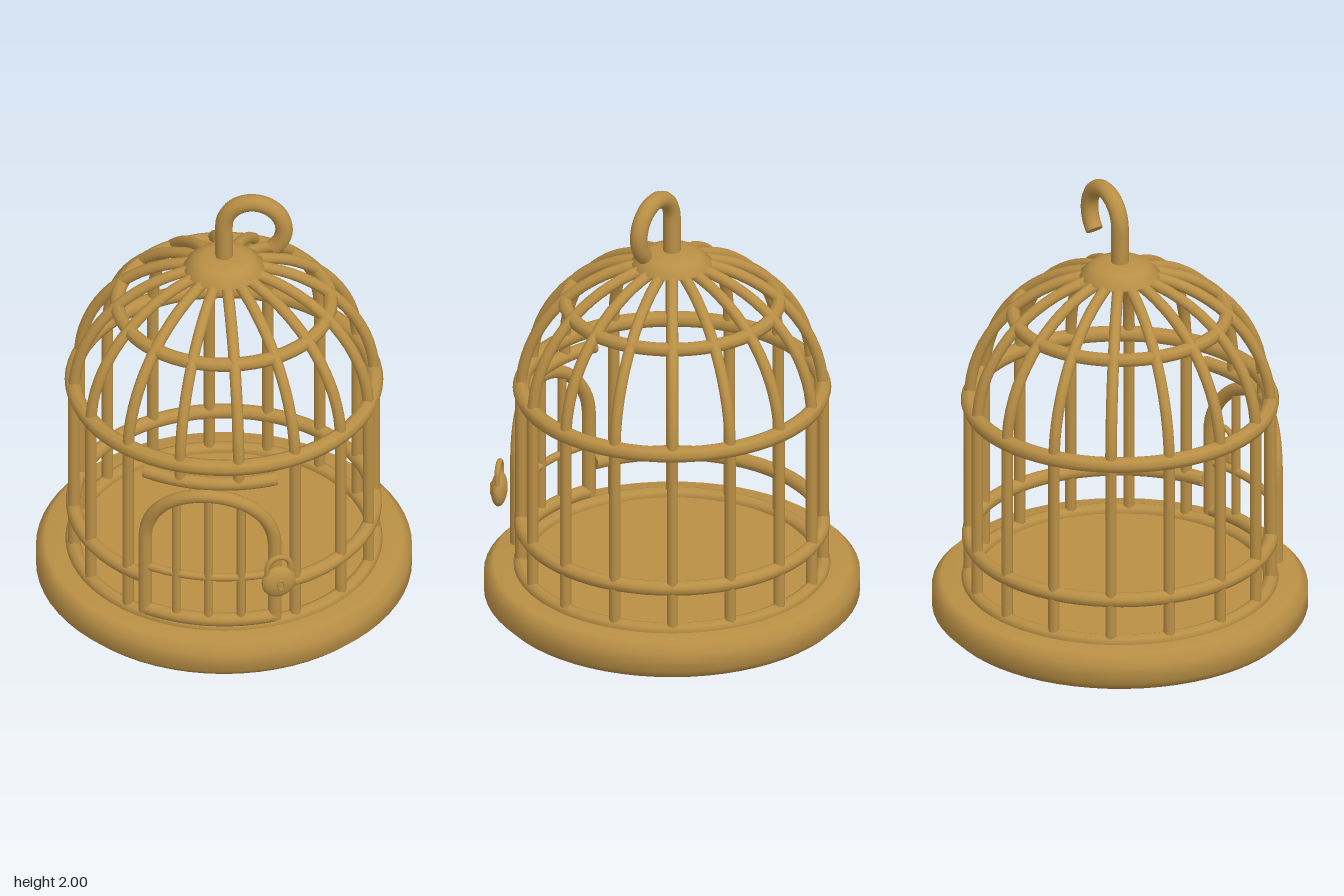
import * as THREE from 'three';
import { mergeGeometries } from 'three/addons/utils/BufferGeometryUtils.js';

const brass = new THREE.MeshStandardMaterial({ color: 0xb98f45 });
brass.name = 'antique brass';

const V = (x, y, z) => new THREE.Vector3(x, y, z);
const CAGE_R = 0.65, DOOR_R = 0.675, GAP = 0.45; // radii, and half angle of the door opening

function add(parent, name, geometry) {
  const mesh = new THREE.Mesh(geometry, brass);
  mesh.name = name;
  parent.add(mesh);
  return mesh;
}

// Round rod along a list of points, closed with flat caps
function rod(points, radius, segments = 1, sides = 10) {
  const curve = points.length === 2
    ? new THREE.LineCurve3(points[0], points[1])
    : new THREE.CatmullRomCurve3(points);
  const parts = [new THREE.TubeGeometry(curve, segments, radius, sides)];
  for (const [t, sign] of [[0, -1], [1, 1]]) {
    const cap = new THREE.CircleGeometry(radius, sides);
    const dir = curve.getTangentAt(t).multiplyScalar(sign);
    cap.applyQuaternion(new THREE.Quaternion().setFromUnitVectors(V(0, 0, 1), dir));
    const p = curve.getPointAt(t);
    cap.translate(p.x, p.y, p.z);
    parts.push(cap);
  }
  return mergeGeometries(parts);
}

// Horizontal arc about the cage axis; angle 0 faces the front
function arc(radius, y, from, to, thickness, segments) {
  const points = [];
  for (let i = 0; i <= segments; i++) {
    const a = from + (to - from) * i / segments;
    points.push(V(radius * Math.sin(a), y, radius * Math.cos(a)));
  }
  return rod(points, thickness, segments);
}

function hoop(radius, y, thickness) {
  return new THREE.TorusGeometry(radius, thickness, 8, 64).rotateX(Math.PI / 2).translate(0, y, 0);
}

function lathe(profile) {
  return new THREE.LatheGeometry(profile.map(([r, y]) => new THREE.Vector2(r, y)), 64);
}

// Point on the curved door surface
const onDoor = (x, y) => V(x, y, Math.sqrt(DOOR_R * DOOR_R - x * x));

function buildDoor() {
  const door = new THREE.Group();
  door.name = 'door';
  const half = 0.28, spring = 0.6;

  // Arched frame wrapped around the cage
  const frame = [];
  for (let i = 0; i < 6; i++) frame.push(onDoor(-half, 0.21 + (spring - 0.21) * i / 6));
  for (let i = 0; i <= 16; i++) {
    const a = Math.PI * (1 - i / 16);
    frame.push(onDoor(half * Math.cos(a), spring + half * Math.sin(a)));
  }
  for (let i = 5; i >= 0; i--) frame.push(onDoor(half, 0.21 + (spring - 0.21) * i / 6));
  add(door, 'doorFrame', rod(frame, 0.03, 56));

  const a = Math.asin(half / DOOR_R);
  add(door, 'doorSill', arc(DOOR_R, 0.225, -a, a, 0.03, 12));
  add(door, 'doorCrossbar', arc(DOOR_R, 0.45, -a, a, 0.018, 12));
  for (const x of [-0.14, 0, 0.14]) {
    const top = spring + Math.sqrt(half * half - x * x);
    add(door, 'doorBar', rod([onDoor(x, 0.22), onDoor(x, top)], 0.02));
  }
  return door;
}

function buildPadlock() {
  const lock = new THREE.Group();
  lock.name = 'padlock';
  add(lock, 'lockBody', new THREE.SphereGeometry(0.077, 24, 16).scale(1, 1, 0.45));
  const shackle = [];
  for (let i = 0; i <= 12; i++) {
    const a = Math.PI * i / 12;
    shackle.push(V(0.052 * Math.cos(a), 0.075 + 0.052 * Math.sin(a), 0));
  }
  shackle.unshift(V(0.052, 0.03, 0));
  shackle.push(V(-0.052, 0.03, 0));
  add(lock, 'lockShackle', rod(shackle, 0.013, 24, 8));
  add(lock, 'keyholeRim', new THREE.TorusGeometry(0.014, 0.005, 6, 16).scale(1, 1.7, 1).translate(0, 0, 0.034));
  lock.position.set(0.305, 0.46, 0.69);
  lock.rotation.y = 0.42;
  return lock;
}

export function createModel() {
  const cage = new THREE.Group();
  cage.name = 'birdcage';

  // Base with softened edges
  add(cage, 'base', lathe([[0, 0], [0.765, 0], [0.81, 0.045], [0.81, 0.13], [0.77, 0.17], [0.62, 0.17]]));
  add(cage, 'floor', new THREE.CircleGeometry(0.63, 64).rotateX(-Math.PI / 2).translate(0, 0.17, 0));

  // Hoops; the middle one stops at the door opening
  add(cage, 'baseHoop', hoop(CAGE_R, 0.17, 0.033));
  add(cage, 'middleHoop', arc(CAGE_R, 0.37, GAP, Math.PI * 2 - GAP, 0.032, 56));
  add(cage, 'shoulderHoop', hoop(CAGE_R, 1.015, 0.036));
  add(cage, 'domeHoop', hoop(0.46, 1.425, 0.031));
  add(cage, 'lintel', arc(CAGE_R, 0.93, -GAP, GAP, 0.03, 14));

  // Sixteen upright bars, each continuing as a dome rib
  const rib = [];
  for (let i = 0; i <= 10; i++) {
    const t = (i / 10) * 1.36;
    rib.push(V(0, 1.0 + 0.62 * Math.sin(t), CAGE_R * Math.cos(t)));
  }
  const ribGeometry = rod(rib, 0.025, 16);
  const barGeometry = rod([V(0, 0.16, CAGE_R), V(0, 1.02, CAGE_R)], 0.025);
  const shortBar = rod([V(0, 0.93, CAGE_R), V(0, 1.02, CAGE_R)], 0.025);
  for (let i = 0; i < 16; i++) {
    const angle = (i + 0.5) * Math.PI / 8;
    const overDoor = i === 0 || i === 15;
    add(cage, overDoor ? 'shortBar' : 'bar', overDoor ? shortBar : barGeometry).rotation.y = angle;
    add(cage, 'domeRib', ribGeometry).rotation.y = angle;
  }

  // Crown and hanging hook
  add(cage, 'crown', lathe([[0, 1.6], [0.15, 1.6], [0.175, 1.615], [0.125, 1.66], [0.08, 1.672], [0, 1.675]]));
  const hook = [V(0, 1.64, 0), V(0, 1.7, 0), V(0, 1.77, 0)];
  for (let i = 0; i <= 16; i++) {
    const a = Math.PI - (Math.PI + 0.84) * i / 16;
    hook.push(V(0.13 + 0.13 * Math.cos(a), 1.832 + 0.13 * Math.sin(a), 0));
  }
  add(cage, 'hook', rod(hook, 0.038, 40, 12));

  cage.add(buildDoor(), buildPadlock());
  return cage;
}
